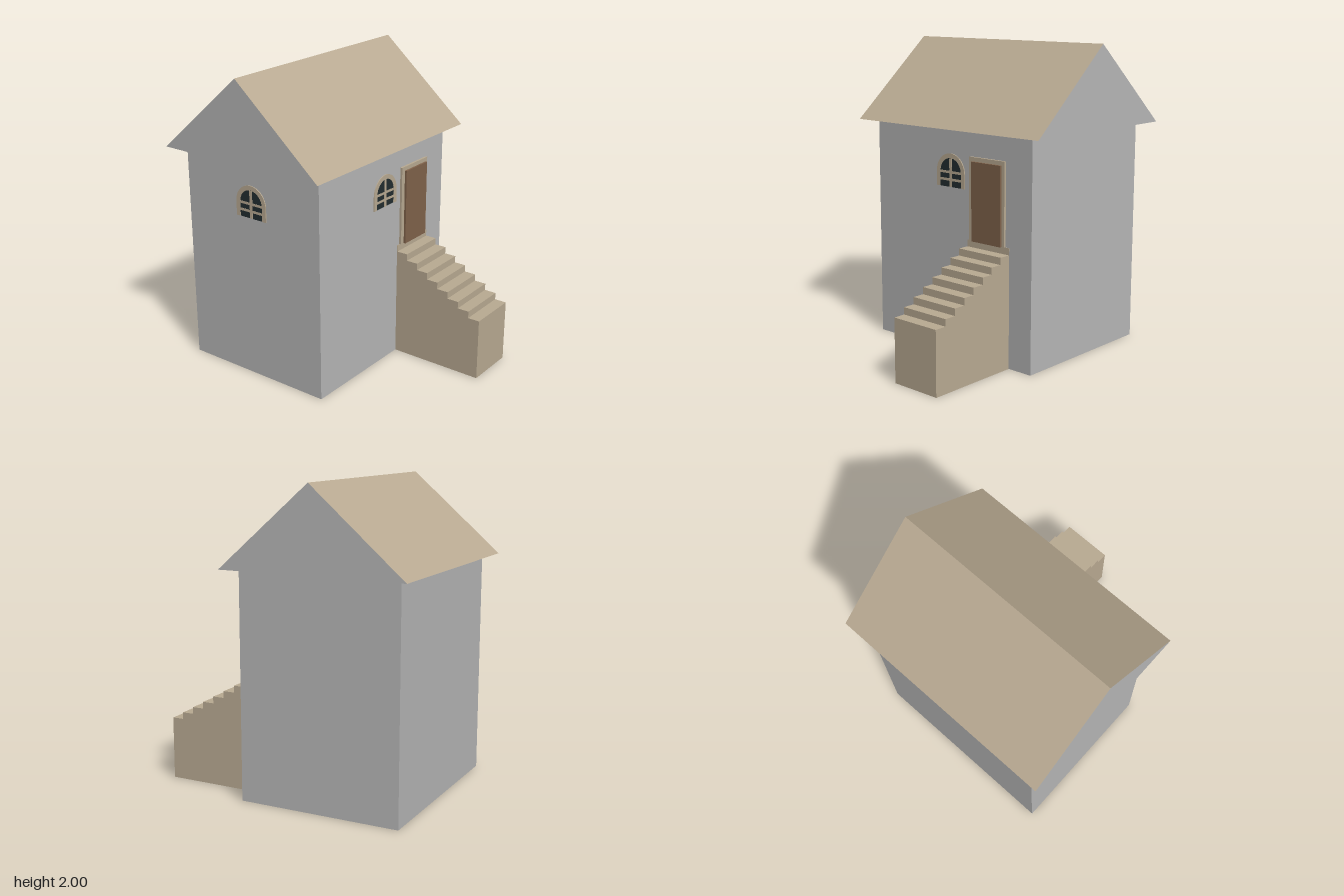
import * as THREE from 'three';

const mat = (name, color, side = THREE.FrontSide) => {
  const m = new THREE.MeshStandardMaterial({ color, side });
  m.name = name;
  return m;
};

export function createModel() {
  const wallGrey = mat('wall grey', 0xb6b6b6, THREE.DoubleSide);
  const tan = mat('tan', 0xb9aa92, THREE.DoubleSide);
  const doorBrown = mat('door brown', 0x80624a);
  const glassDark = mat('dark glass', 0x222d30);

  const house = new THREE.Group();
  house.name = 'house';
  const add = (parent, name, geometry, material, x = 0, y = 0, z = 0) => {
    const mesh = new THREE.Mesh(geometry, material);
    mesh.name = name;
    mesh.position.set(x, y, z);
    parent.add(mesh);
    return mesh;
  };

  // Main dimensions
  const halfW = 0.665, halfD = 0.534, midZ = -0.279, wallH = 1.47;
  const frontZ = midZ + halfD;
  const roofHalfW = 0.772, roofHalfD = 0.612, ridgeY = 2;

  // Four open walls and an inner floor
  for (let i = 0; i < 4; i++) {
    const side = i % 2 === 1;
    const angle = i * Math.PI / 2;
    const reach = side ? halfW : halfD;
    const wall = add(house, 'wall', new THREE.PlaneGeometry(2 * (side ? halfD : halfW), wallH), wallGrey,
      Math.sin(angle) * reach, wallH / 2, midZ + Math.cos(angle) * reach);
    wall.rotation.y = angle;
  }
  add(house, 'innerFloor', new THREE.PlaneGeometry(2 * halfW, 2 * halfD).rotateX(-Math.PI / 2), wallGrey, 0, 0.77, midZ);

  // Hollow gabled roof, open underneath
  const rise = ridgeY - wallH;
  const slopeLength = Math.hypot(roofHalfD, rise);
  const gable = new THREE.Shape([
    new THREE.Vector2(-roofHalfD, 0), new THREE.Vector2(roofHalfD, 0), new THREE.Vector2(0, rise),
  ]);
  for (const s of [1, -1]) {
    const slope = new THREE.PlaneGeometry(2 * roofHalfW, slopeLength);
    slope.rotateX(-Math.atan2(roofHalfD, rise));
    if (s < 0) slope.rotateY(Math.PI);
    add(house, 'roofSlope', slope, tan, 0, wallH + rise / 2, midZ + s * roofHalfD / 2);
    add(house, 'gable', new THREE.ShapeGeometry(gable), wallGrey, s * roofHalfW, wallH, midZ)
      .rotation.y = s * Math.PI / 2;
  }

  // Staircase: stepped side profile swept across its width
  const steps = 8, stairFront = 0.897, stairBack = frontZ + 0.001;
  const tread = (stairFront - stairBack) / steps;
  const profile = new THREE.Shape();
  profile.moveTo(stairBack, 0);
  profile.lineTo(stairFront, 0);
  for (let i = 0; i < steps; i++) {
    const y = 0.412 + i * 0.0455;
    const last = i === steps - 1;
    profile.lineTo(stairFront - i * tread, y);
    profile.lineTo(last ? stairBack + 0.003 : stairFront - (i + 1) * tread, y);
  }
  profile.lineTo(stairBack + 0.003, 0.775);
  profile.lineTo(stairBack, 0.775);
  const stairs = new THREE.ExtrudeGeometry(profile, { depth: 0.345, bevelEnabled: false });
  stairs.rotateY(-Math.PI / 2);
  add(house, 'stairs', stairs, tan, 0.49, 0, 0);

  // Door with its frame
  add(house, 'doorFrame', new THREE.BoxGeometry(0.29, 0.532, 0.015), tan, 0.315, 1.042, frontZ + 0.0075);
  add(house, 'door', new THREE.BoxGeometry(0.237, 0.505, 0.014), doorBrown, 0.319, 1.0285, frontZ + 0.022);

  // Arched outline, standing on y = 0
  const spring = 0.095;
  const arch = (r, Type) => {
    const p = new Type();
    p.moveTo(-r, 0);
    p.lineTo(r, 0);
    p.lineTo(r, spring);
    p.absarc(0, spring, r, 0, Math.PI, false);
    p.lineTo(-r, 0);
    return p;
  };

  // Arched window: tan surround, dark glass and thin glazing bars
  const addWindow = (x, z, angle) => {
    const win = new THREE.Group();
    win.name = 'window';
    win.position.set(x, 1.093, z);
    win.rotation.y = angle;
    house.add(win);
    const plate = (shape, depth) =>
      new THREE.ExtrudeGeometry(shape, { depth, bevelEnabled: false, curveSegments: 16 });
    const surround = new THREE.Shape();
    surround.moveTo(0.12, 0);
    surround.lineTo(0.12, spring);
    surround.absarc(0, spring, 0.12, 0, Math.PI, false);
    surround.lineTo(-0.12, 0);
    surround.lineTo(-0.09, 0);
    surround.lineTo(-0.09, spring);
    surround.absarc(0, spring, 0.09, Math.PI, 0, true);
    surround.lineTo(0.09, 0);
    add(win, 'windowFrame', plate(surround, 0.006), tan);
    add(win, 'windowGlass', plate(arch(0.09, THREE.Shape), 0.003), glassDark);
    add(win, 'verticalBar', new THREE.BoxGeometry(0.022, 0.183, 0.005), tan, 0, 0.0915, 0.0025);
    for (const y of [0.047, 0.095]) {
      add(win, 'horizontalBar', new THREE.BoxGeometry(0.18, 0.016, 0.005), tan, 0, y, 0.0025);
    }
  };
  addWindow(0, frontZ, 0);
  addWindow(-halfW, midZ, -Math.PI / 2);

  return house;
}
